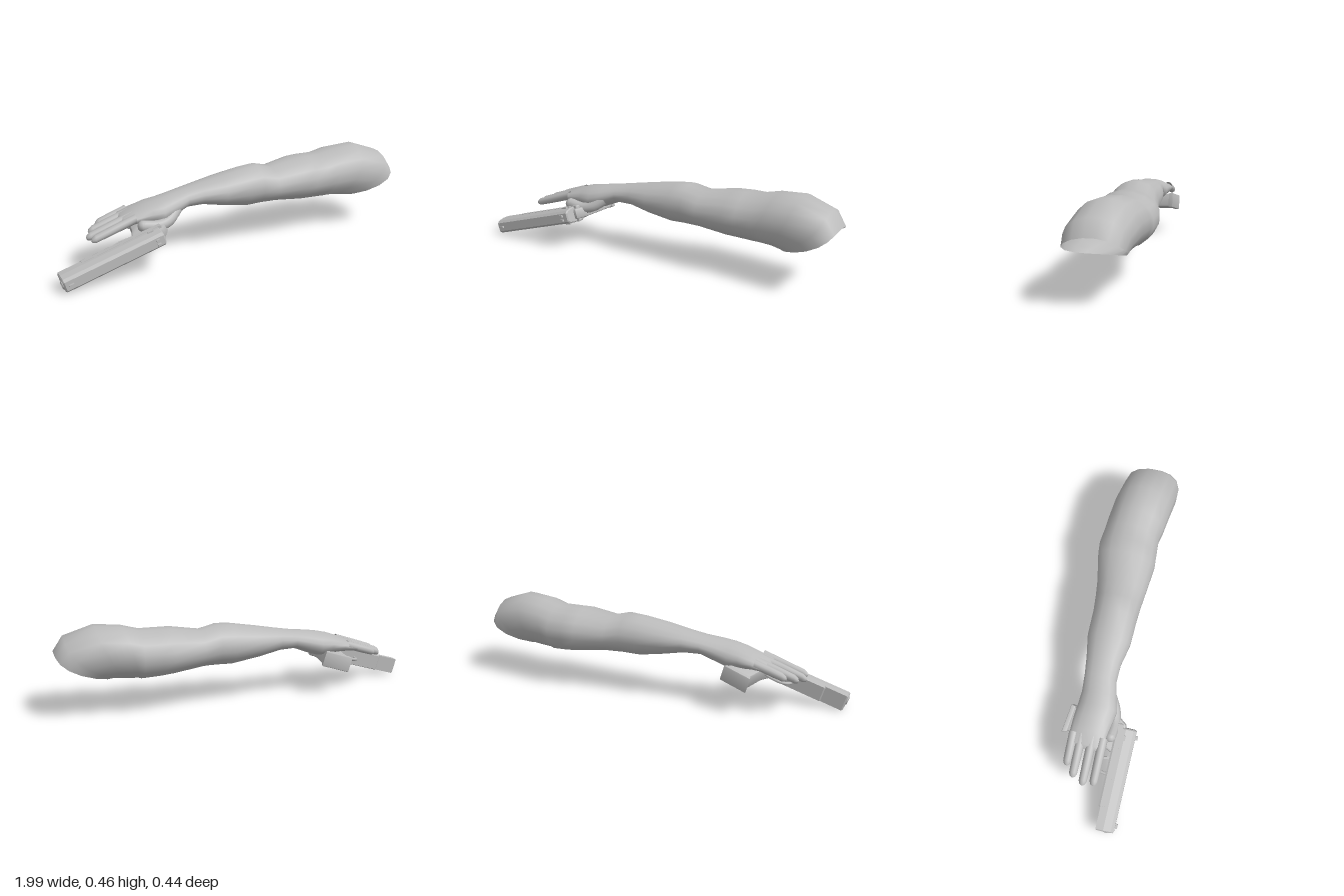
import * as THREE from 'three';
import { toCreasedNormals } from 'three/addons/utils/BufferGeometryUtils.js';

const grey = new THREE.MeshStandardMaterial({ color: 0xbbbbbb, side: THREE.DoubleSide });
grey.name = 'plain grey';

function add(parent, name, geometry, x = 0, y = 0, z = 0) {
  const mesh = new THREE.Mesh(geometry, grey);
  mesh.name = name;
  mesh.position.set(x, y, z);
  parent.add(mesh);
  return mesh;
}

// Skin through rings along x: [x, yMin, yMax, zMin, zMax, lean, bulge]
function loft(sections, sides = 12) {
  const pos = [], index = [];
  const fit = 1 / Math.cos(Math.PI / sides);
  for (const [x, y0, y1, z0, z1, lean = 0, bulge = 0] of sections) {
    for (let j = 0; j < sides; j++) {
      const a = ((j + 0.5) / sides) * Math.PI * 2;
      const c = Math.cos(a) * fit, s = Math.sin(a) * fit;
      pos.push(x + lean * c / 2 + bulge * s * s,
        (y0 + y1) / 2 + c * (y1 - y0) / 2, (z0 + z1) / 2 + s * (z1 - z0) / 2);
    }
  }
  for (let i = 0; i < sections.length - 1; i++) {
    for (let j = 0; j < sides; j++) {
      const k = (j + 1) % sides;
      const a = i * sides + j, b = i * sides + k, c = a + sides, d = b + sides;
      index.push(a, b, c, b, d, c);
    }
  }
  const g = new THREE.BufferGeometry();
  g.setAttribute('position', new THREE.Float32BufferAttribute(pos, 3));
  g.setIndex(index);
  g.computeVertexNormals();
  return g;
}

const shapeOf = (points) => new THREE.Shape(points.map(([a, b]) => new THREE.Vector2(a, b)));

// Section in (y, z), pushed along x
function alongX(points, x0, x1, bevel = 0.006) {
  const g = new THREE.ExtrudeGeometry(shapeOf(points), {
    depth: x1 - x0 - 2 * bevel, bevelEnabled: true, bevelSize: bevel, bevelOffset: -bevel,
    bevelThickness: bevel, bevelSegments: 1 });
  g.applyMatrix4(new THREE.Matrix4().makeBasis(new THREE.Vector3(0, 1, 0),
    new THREE.Vector3(0, 0, 1), new THREE.Vector3(1, 0, 0)));
  return g.translate(x0 + bevel, 0, 0);
}

// Side outline in (x, z), given a width in y
function sideCut(points, width, bevel = 0.012) {
  const g = new THREE.ExtrudeGeometry(shapeOf(points), {
    depth: width - 2 * bevel, bevelEnabled: true, bevelSize: bevel, bevelOffset: -bevel,
    bevelThickness: bevel, bevelSegments: 2 });
  g.translate(0, 0, -(width - 2 * bevel) / 2).rotateX(Math.PI / 2);
  return toCreasedNormals(g, 0.7);
}

function buildArm(root) {
  // Palm, forearm and upper arm, left open at the slanted shoulder cut
  add(root, 'arm', loft([
    [-0.635, 0.24, 0.25, -0.10, 0.05],
    [-0.62, 0.222, 0.272, -0.122, 0.066],
    [-0.55, 0.222, 0.298, -0.122, 0.068],
    [-0.48, 0.215, 0.322, -0.12, 0.08],
    [-0.42, 0.205, 0.334, -0.115, 0.09],
    [-0.36, 0.225, 0.345, -0.11, 0.075],
    [-0.27, 0.262, 0.358, -0.117, 0.052],
    [-0.18, 0.26, 0.374, -0.13, 0.053],
    [-0.06, 0.235, 0.396, -0.154, 0.075],
    [0.08, 0.21, 0.42, -0.158, 0.076],
    [0.16, 0.213, 0.426, -0.166, 0.08],
    [0.25, 0.214, 0.403, -0.18, 0.087],
    [0.41, 0.195, 0.43, -0.215, 0.1],
    [0.48, 0.19, 0.432, -0.223, 0.094],
    [0.57, 0.185, 0.433, -0.215, 0.087],
    [0.62, 0.188, 0.455, -0.21, 0.098, 0.07],
    [0.72, 0.188, 0.467, -0.198, 0.112, 0.14, 0.02],
    [0.81, 0.188, 0.415, -0.175, 0.126, 0.26, 0.06],
    [0.845, 0.187, 0.337, -0.16, 0.124, 0.29, 0.06],
  ], 16));

  // Fingers: z centre and tip x
  const fingers = { littleFinger: [-0.1, -0.735], ringFinger: [-0.057, -0.785],
    middleFinger: [0, -0.812], indexFinger: [0.055, -0.802] };
  for (const [name, [z, tip]] of Object.entries(fingers)) {
    const ring = (x, r) => {
      const y = 0.19 + (x + 0.8) * 0.33;
      return [x, y - r, y + r, z - r, z + r];
    };
    add(root, name, loft([ring(tip, 0.001), ring(tip + 0.006, 0.013), ring(tip + 0.022, 0.02),
      ring((tip - 0.57) / 2, 0.022), ring(-0.57, 0.023)], 10));
  }

  // Thumb wrapping toward the grip
  const path = new THREE.CatmullRomCurve3([[-0.34, 0.275, 0.04], [-0.4, 0.235, 0.075],
    [-0.46, 0.222, 0.088], [-0.54, 0.232, 0.085]].map((p) => new THREE.Vector3(...p)));
  add(root, 'thumb', new THREE.TubeGeometry(path, 10, 0.03, 10));
  add(root, 'thumbTip', new THREE.SphereGeometry(0.03, 10, 8), -0.54, 0.232, 0.085);
}

function buildPistol(root) {
  // Lies on its side: muzzle toward -x, its top toward +z
  const gun = new THREE.Group();
  gun.name = 'pistol';
  gun.position.set(-0.987, 0.042, 0);
  gun.rotation.z = 0.292;
  root.add(gun);

  add(gun, 'slide', alongX([[-0.043, 0.115], [0.043, 0.115], [0.043, 0.155], [0.036, 0.195],
    [0.024, 0.21], [-0.024, 0.21], [-0.036, 0.195], [-0.043, 0.155]], 0, 0.54));
  add(gun, 'frame', alongX([[-0.04, 0.103], [0.04, 0.103], [0.044, 0.112], [0.044, 0.138],
    [-0.044, 0.138], [-0.044, 0.112]], 0.12, 0.56));
  add(gun, 'gripTang', sideCut([[0.5, 0.09], [0.58, 0.085], [0.592, 0.1], [0.555, 0.15],
    [0.5, 0.15]], 0.06));
  add(gun, 'grip', sideCut([[0.395, 0.12], [0.43, 0.03], [0.46, -0.148], [0.59, -0.135],
    [0.55, 0.04], [0.565, 0.12]], 0.078));
  add(gun, 'magazineBase', sideCut([[0.448, -0.17], [0.455, -0.142], [0.592, -0.127],
    [0.598, -0.15]], 0.084, 0.006));

  // Muzzle ring
  const muzzle = add(gun, 'muzzle', new THREE.TorusGeometry(0.018, 0.006, 8, 16), 0, 0, 0.17);
  muzzle.rotation.y = Math.PI / 2;

  // Trigger guard and trigger
  const guardPath = new THREE.CatmullRomCurve3([[0.285, 0.108], [0.295, 0.06], [0.33, 0.035],
    [0.385, 0.035], [0.43, 0.05]].map(([x, z]) => new THREE.Vector3(x, 0, z)));
  add(gun, 'triggerGuard', new THREE.TubeGeometry(guardPath, 16, 0.009, 6));
  const trigger = add(gun, 'trigger', new THREE.BoxGeometry(0.012, 0.016, 0.055), 0.365, 0, 0.082);
  trigger.rotation.y = 0.25;

  // Sights
  add(gun, 'frontSight', new THREE.BoxGeometry(0.025, 0.01, 0.018), 0.035, 0, 0.213);
  for (const side of [-1, 1]) {
    add(gun, 'rearSight', new THREE.BoxGeometry(0.02, 0.012, 0.018), 0.5, side * 0.012, 0.213);
    // Controls on both flanks
    add(gun, 'safetyLever', new THREE.BoxGeometry(0.03, 0.008, 0.014), 0.49, side * 0.045, 0.155);
  }
}

export function createModel() {
  const root = new THREE.Group();
  root.name = 'armWithPistol';
  buildArm(root);
  buildPistol(root);
  return root;
}
